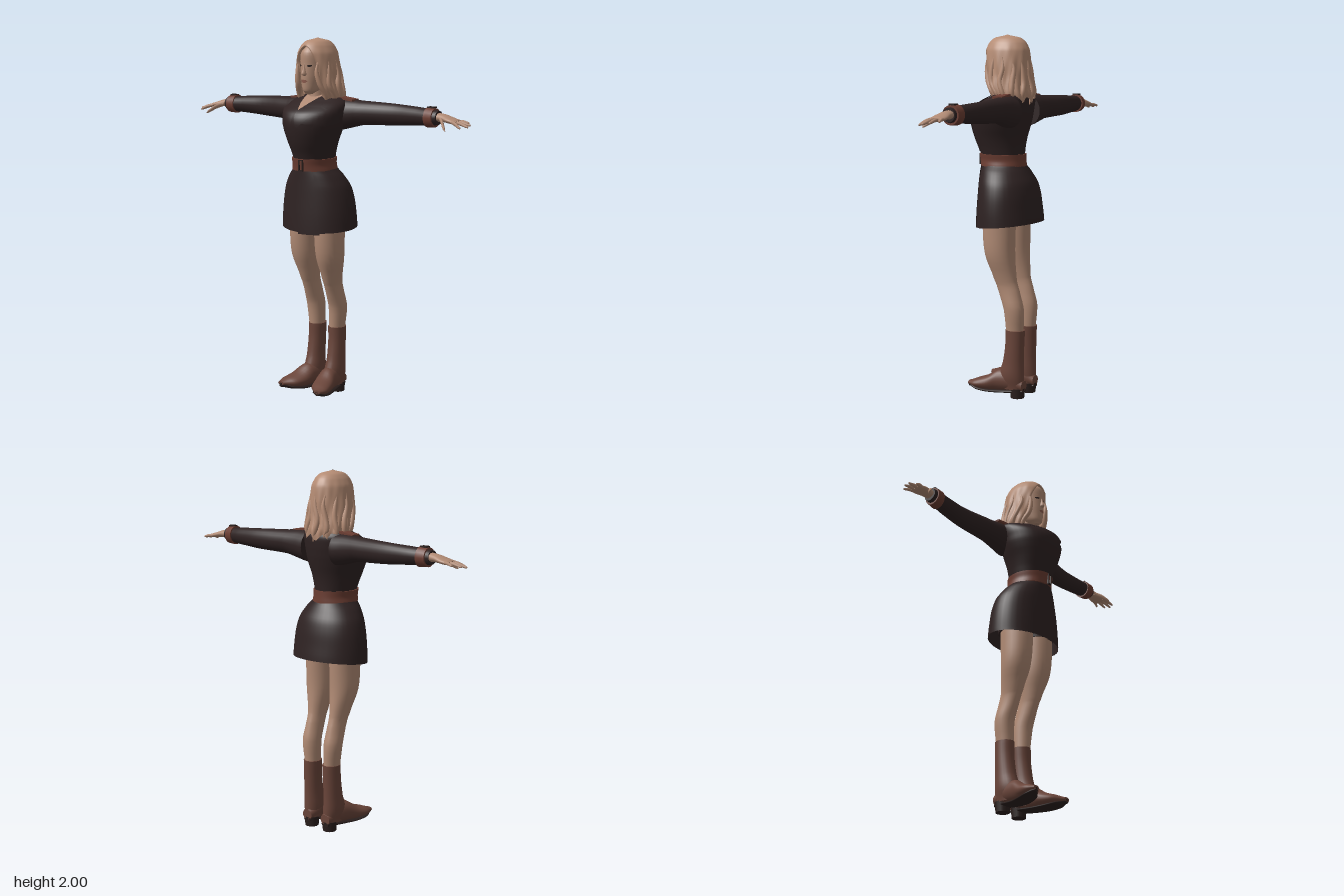
import * as THREE from 'three';

const mat = (name, color, extra = {}) => {
  const m = new THREE.MeshStandardMaterial({ color, side: THREE.DoubleSide, ...extra });
  m.name = name;
  return m;
};

// Grid surface: f(i, j) returns a point; wrap joins the last column to the first
function grid(rows, cols, f, wrap = false, caps = false) {
  const pos = [], idx = [];
  for (let i = 0; i < rows; i++) for (let j = 0; j < cols; j++) pos.push(...f(i, j));
  const last = wrap ? cols : cols - 1;
  for (let i = 0; i < rows - 1; i++) for (let j = 0; j < last; j++) {
    const a = i * cols + j, b = i * cols + (j + 1) % cols;
    idx.push(a, b, a + cols, b, b + cols, a + cols);
  }
  if (caps) for (const i of [0, rows - 1]) {
    const start = pos.length / 3, c = [0, 0, 0];
    for (let j = 0; j < cols; j++) {
      const p = f(i, j);
      pos.push(...p);
      p.forEach((v, k) => { c[k] += v / cols; });
    }
    pos.push(...c);
    for (let j = 0; j < cols; j++) {
      const a = start + j, b = start + (j + 1) % cols, m = start + cols;
      if (i) idx.push(m, a, b); else idx.push(m, b, a);
    }
  }
  const g = new THREE.BufferGeometry();
  g.setAttribute('position', new THREE.Float32BufferAttribute(pos, 3));
  g.setIndex(idx);
  g.computeVertexNormals();
  return g;
}

// Rings are [t, a0, a1, b0, b1]: position on the axis, then extents on the next two axes
function sample(rings, t) {
  const n = rings.length;
  let i = 0;
  while (i < n - 2 && t > rings[i + 1][0]) i++;
  const at = k => rings[Math.min(n - 1, Math.max(0, k))];
  const u = THREE.MathUtils.clamp((t - rings[i][0]) / (rings[i + 1][0] - rings[i][0]), 0, 1);
  return [1, 2, 3, 4].map(k => {
    const [p, q, r, s] = [at(i - 1)[k], at(i)[k], at(i + 1)[k], at(i + 2)[k]];
    return q + 0.5 * u * (r - p + u * (2 * p - 5 * q + 4 * r - s + u * (3 * (q - r) + s - p)));
  });
}

function loft(axis, rings, { sides = 24, steps = 4, caps = true } = {}) {
  const ts = [];
  rings.forEach((r, i) => {
    if (i) for (let k = 1; k <= steps; k++) ts.push(THREE.MathUtils.lerp(rings[i - 1][0], r[0], k / steps));
    else ts.push(r[0]);
  });
  const k = 'xyz'.indexOf(axis), sec = ts.map(t => sample(rings, t));
  return grid(ts.length, sides, (i, j) => {
    const [a0, a1, b0, b1] = sec[i], w = j / sides * Math.PI * 2, p = [];
    p[k] = ts[i];
    p[(k + 1) % 3] = (a0 + a1) / 2 + (a1 - a0) / 2 * Math.cos(w);
    p[(k + 2) % 3] = (b0 + b1) / 2 + (b1 - b0) / 2 * Math.sin(w);
    return p;
  }, true, caps);
}

const R = (y, back, front, w) => [y, back, front, -w, w];
const ball = (x, y, z, r) => [x, y - r, y + r, z - r, z + r];

// Thin plate laid on the front of a y loft; rows are [y, x0, x1]
function panel(rings, rows, off = 0.006, cols = 9, steps = 5) {
  const n = (rows.length - 1) * steps + 1;
  return grid(n, cols, (i, j) => {
    const s = Math.min(rows.length - 2, Math.floor(i / steps)), u = i / steps - s;
    const [y, x0, x1] = rows[s].map((v, k) => THREE.MathUtils.lerp(v, rows[s + 1][k], u));
    const x = THREE.MathUtils.lerp(x0, x1, j / (cols - 1));
    const [z0, z1, , w] = sample(rings, y);
    return [x, y, (z0 + z1) / 2 + (z1 - z0) / 2 * Math.sqrt(Math.max(0, 1 - (x / w) ** 2)) + off];
  });
}

function mirrored(g) {
  const m = g.clone().scale(-1, 1, 1), a = m.index.array;
  for (let i = 0; i < a.length; i += 3) [a[i], a[i + 1]] = [a[i + 1], a[i]];
  return m;
}

export function createModel() {
  const model = new THREE.Group();
  model.name = 'woman';
  const skin = mat('skin', 0xb08a74), hairMat = mat('hair', 0xb58c74), coat = mat('coat', 0x2e2222);
  const leather = mat('belt leather', 0x6b3d32), boot = mat('boot leather', 0x6a453a);
  const dark = mat('dark trim', 0x2a1f1d), lip = mat('lips', 0x8c5c4e);
  const add = (name, g, m) => {
    const mesh = new THREE.Mesh(g, m);
    mesh.name = name;
    model.add(mesh);
  };
  const pair = (name, g, m) => {
    add(name + 'Left', g, m);
    add(name + 'Right', mirrored(g), m);
  };

  // Coat body
  const bodice = [R(1.32, -0.1, 0.143, 0.105), R(1.36, -0.1, 0.15, 0.112), R(1.44, -0.11, 0.18, 0.135),
    R(1.52, -0.13, 0.198, 0.165), R(1.57, -0.14, 0.198, 0.175), R(1.61, -0.145, 0.175, 0.18),
    R(1.65, -0.145, 0.11, 0.175), R(1.68, -0.13, 0.05, 0.14), R(1.7, -0.11, 0.01, 0.07)];
  add('bodice', loft('y', bodice, { sides: 40 }), coat);
  const skirt = [R(0.965, -0.197, 0.15, 0.227), R(1.05, -0.187, 0.147, 0.224), R(1.13, -0.177, 0.143, 0.214),
    R(1.2, -0.16, 0.14, 0.194), R(1.26, -0.127, 0.138, 0.155), R(1.31, -0.1, 0.138, 0.108)];
  const slopeHem = g => {
    const p = g.attributes.position;
    for (let i = 0; i < p.count; i++) {
      const f = THREE.MathUtils.clamp((1.2 - p.getY(i)) / 0.24, 0, 1);
      p.setY(i, p.getY(i) - f * 0.1 * p.getZ(i));
    }
    g.computeVertexNormals();
    return g;
  };
  add('skirt', slopeHem(loft('y', skirt, { sides: 40, caps: false })), coat);
  add('skirtFlap', slopeHem(panel(skirt, [[0.958, -0.012, 0.12], [1.29, -0.012, 0.07]], 0.006, 9, 12)), coat);
  add('frontFlap', panel(bodice, [[1.36, -0.03, 0.07], [1.45, -0.005, 0.09], [1.55, 0.03, 0.11]]), coat);

  // Neckline, lapels, collar and shoulder tabs
  add('neckline', panel(bodice, [[1.62, 0, 0.004], [1.66, -0.035, 0.035], [1.695, -0.06, 0.06]]), skin);
  pair('lapel', panel(bodice, [[1.53, 0.015, 0.03], [1.6, 0.004, 0.1], [1.625, 0.008, 0.15],
    [1.64, 0.02, 0.12], [1.69, 0.055, 0.08]], 0.012), coat);
  add('collar', new THREE.CylinderGeometry(0.08, 0.1, 0.05, 24, 1, true, 1.1, Math.PI * 2 - 2.2)
    .translate(0, 1.69, -0.045), coat);
  pair('shoulderTab', new THREE.BoxGeometry(0.1, 0.012, 0.06).rotateZ(-0.12).translate(0.165, 1.675, -0.06), leather);

  // Belt and buckle
  add('belt', loft('y', [R(1.288, -0.11, 0.148, 0.122), R(1.32, -0.108, 0.152, 0.115),
    R(1.354, -0.107, 0.157, 0.119)], { sides: 40 }), leather);
  for (const s of [-1, 1]) {
    add('buckleSide', new THREE.BoxGeometry(0.005, 0.058, 0.012).translate(0.01 + s * 0.012, 1.32, 0.154), dark);
    add('buckleBar', new THREE.BoxGeometry(0.028, 0.005, 0.012).translate(0.01, 1.32 + s * 0.028, 0.154), dark);
  }

  // Sleeves and cuffs
  pair('sleeve', loft('x', [[0.1, 1.5, 1.675, -0.15, 0.02], [0.17, 1.515, 1.674, -0.145, 0],
    [0.25, 1.535, 1.668, -0.145, -0.02], [0.45, 1.545, 1.66, -0.15, -0.055], [0.6, 1.555, 1.652, -0.14, -0.05],
    [0.7, 1.56, 1.645, -0.125, -0.04], [0.735, 1.568, 1.64, -0.12, -0.045]]), coat);
  pair('cuffStrap', loft('x', [[0.665, 1.55, 1.656, -0.137, -0.037], [0.715, 1.553, 1.652, -0.13, -0.034]]), leather);
  pair('cuffBuckle', new THREE.BoxGeometry(0.04, 0.008, 0.03).translate(0.69, 1.655, -0.085), dark);

  // Hands: palm, four fingers and thumb
  pair('palm', loft('x', [[0.72, 1.583, 1.63, -0.115, -0.055], [0.77, 1.583, 1.624, -0.12, -0.05],
    [0.81, 1.578, 1.612, -0.125, -0.04], [0.845, 1.576, 1.602, -0.12, -0.042], [0.855, 1.582, 1.597, -0.11, -0.05]]), skin);
  const tips = [[0.905, 1.565, -0.022], [0.93, 1.57, -0.055], [0.922, 1.575, -0.09], [0.892, 1.582, -0.127]];
  tips.forEach(([x, y, z], i) => {
    const z0 = -0.05 - i * 0.021, h = 0.01 - i * 0.0006;
    pair('finger' + (i + 1), loft('x', [ball(0.83, 1.59, z0, h), ball((0.83 + x) / 2, (1.594 + y) / 2, (z0 + z) / 2, h),
      ball(x - 0.006, y, z, 0.006), ball(x, y, z, 0.001)], { sides: 10 }), skin);
  });
  pair('thumb', loft('x', [ball(0.755, 1.6, -0.065, 0.013), ball(0.79, 1.583, -0.03, 0.013),
    ball(0.82, 1.558, -0.002, 0.009), ball(0.832, 1.548, 0.007, 0.002)], { sides: 10 }), skin);

  // Legs and shorts
  const leg = [[0.36, -0.14, -0.04, 0.03, 0.112], [0.5, -0.146, -0.03, 0.03, 0.127], [0.6, -0.122, 0.005, 0.035, 0.121],
    [0.66, -0.104, 0.03, 0.033, 0.126], [0.8, -0.092, 0.08, 0.013, 0.16], [0.95, -0.095, 0.095, 0.008, 0.165],
    [1.08, -0.1, 0.09, 0.005, 0.165]];
  pair('leg', loft('y', leg), skin);
  pair('shorts', loft('y', [[1.0, -0.112, 0.102, 0, 0.172], [1.1, -0.115, 0.1, -0.01, 0.165],
    [1.2, -0.1, 0.09, -0.02, 0.13]]), coat);

  // Boots with soles and heels
  pair('bootShaft', loft('y', [[0.05, -0.145, 0, 0.025, 0.11], [0.12, -0.145, 0.005, 0.02, 0.123],
    [0.2, -0.143, -0.02, 0.025, 0.12], [0.3, -0.145, -0.035, 0.025, 0.118], [0.385, -0.148, -0.037, 0.022, 0.118]]), boot);
  const foot = [[-0.145, 0.035, 0.1, 0.04, 0.1], [-0.08, 0.02, 0.115, 0.035, 0.15], [0, 0.02, 0.132, 0.03, 0.155],
    [0.06, 0.028, 0.153, 0.032, 0.118], [0.12, 0.055, 0.165, 0.042, 0.097], [0.167, 0.11, 0.15, 0.057, 0.08]];
  pair('foot', loft('z', foot), boot);
  pair('sole', loft('z', foot.map(([z, a, b, y]) => [z, a + 0.008, b - 0.008, y - 0.01, y + 0.014])), dark);
  pair('heel', new THREE.CylinderGeometry(0.042, 0.038, 0.055, 16).translate(0.067, 0.0275, -0.105), dark);

  // Head, neck and face
  const head = [R(1.7, 0.05, 0.09, 0.018), R(1.72, 0, 0.106, 0.04), R(1.76, -0.07, 0.111, 0.057),
    R(1.8, -0.1, 0.113, 0.067), R(1.86, -0.11, 0.112, 0.073), R(1.92, -0.11, 0.11, 0.073),
    R(1.955, -0.09, 0.085, 0.058), R(1.975, -0.04, 0.04, 0.025)];
  add('head', loft('y', head, { sides: 32 }), skin);
  add('neck', loft('y', [R(1.62, -0.08, 0.06, 0.06), R(1.68, -0.07, 0.045, 0.048), R(1.76, -0.06, 0.045, 0.044)]), skin);
  add('nose', loft('y', [R(1.798, 0.1, 0.112, 0.008), R(1.808, 0.09, 0.131, 0.014), R(1.835, 0.09, 0.121, 0.008),
    R(1.87, 0.09, 0.112, 0.005)], { sides: 12 }), skin);
  pair('eye', panel(head, [[1.848, 0.026, 0.034], [1.853, 0.017, 0.042], [1.859, 0.024, 0.04]], 0.003), dark);
  pair('eyebrow', panel(head, [[1.874, 0.014, 0.032], [1.88, 0.02, 0.046]], 0.003), hairMat);
  add('lips', panel(head, [[1.762, -0.008, 0.008], [1.771, -0.021, 0.021], [1.779, -0.009, 0.009]], 0.004), lip);

  // Hair shell, parted around the face, with wavy locks
  const hair = [R(1.65, -0.15, 0.065, 0.125), R(1.68, -0.153, 0.075, 0.13), R(1.72, -0.145, 0.095, 0.13),
    R(1.78, -0.138, 0.108, 0.12), R(1.85, -0.137, 0.118, 0.112), R(1.92, -0.13, 0.118, 0.1),
    R(1.96, -0.11, 0.1, 0.079), R(1.985, -0.078, 0.068, 0.054), R(2, -0.008, 0.002, 0.004)];
  const nr = 40, nc = 73;
  add('hair', grid(nr, nc, (i, j) => {
    const v = i / (nr - 1), y = 1.65 + 0.35 * Math.sin(v * Math.PI / 2);
    const [z0, z1, , w] = sample(hair, y);
    const open = 0.64 * Math.sqrt(THREE.MathUtils.clamp((1.955 - y) / 0.09, 0, 1));
    const a = open + (Math.PI * 2 - 2 * open) * j / (nc - 1);
    const low = THREE.MathUtils.clamp((1.98 - y) / 0.25, 0, 1);
    const edge = (j === 0 || j === nc - 1) && open > 0 ? 0.84 : 1;
    const r = edge * (1 + low * (0.03 * Math.sin(11 * a + 22 * y) + 0.02 * Math.sin(17 * a - 30 * y)));
    const ragged = 0.016 * Math.sin(9 * a + 1) * (1 - v) ** 4;
    return [w * r * Math.sin(a), y + ragged, (z0 + z1) / 2 + (z1 - z0) / 2 * r * Math.cos(a)];
  }), hairMat);
  for (let k = 0; k < 11; k++) {
    const a = 0.72 + k / 10 * (Math.PI * 2 - 1.44);
    const rings = [1.64 + 0.015 * Math.sin(k * 2.3), 1.69, 1.75, 1.82, 1.89].map((y, i) => {
      const [z0, z1, , w] = sample(hair, y), s = a + 0.1 * Math.sin(i * 1.7 + k);
      const x = w * 0.97 * Math.sin(s), z = (z0 + z1) / 2 + (z1 - z0) / 2 * 0.97 * Math.cos(s);
      const r = [0.003, 0.014, 0.016, 0.012, 0.002][i];
      return [y, z - r, z + r, x - r, x + r];
    });
    add('hairLock', loft('y', rings, { sides: 10 }), hairMat);
  }
  return model;
}
